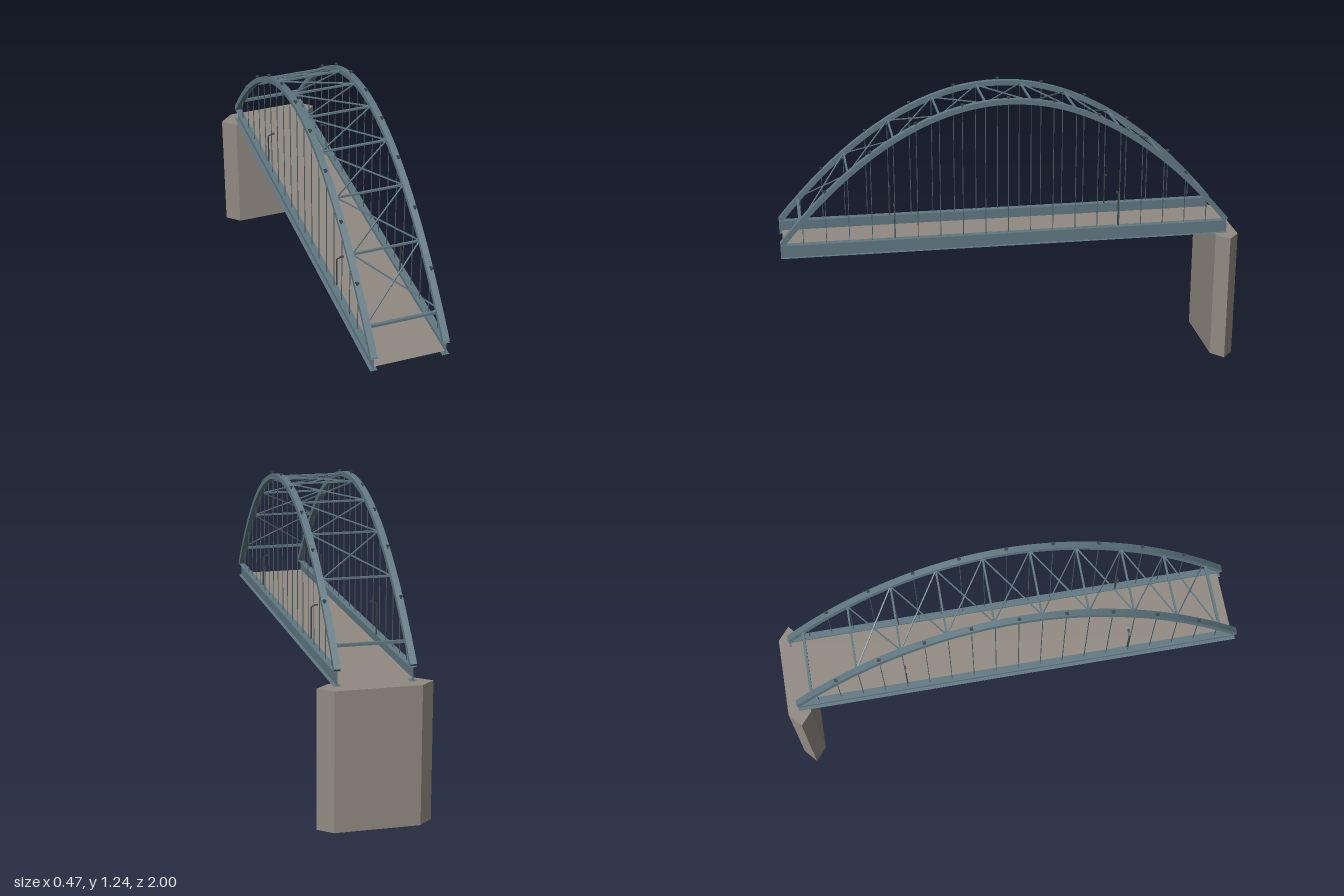
import * as THREE from 'three';

const steel = new THREE.MeshStandardMaterial({ color: 0x607882, side: THREE.DoubleSide });
steel.name = 'steel';
const darkSteel = new THREE.MeshStandardMaterial({ color: 0x4a5c65 });
darkSteel.name = 'darkSteel';
const lampGrey = new THREE.MeshStandardMaterial({ color: 0x3c4246 });
lampGrey.name = 'lampGrey';
const concrete = new THREE.MeshStandardMaterial({ color: 0x918a81, side: THREE.DoubleSide });
concrete.name = 'concrete';

const MID = 0.0215, HALF = 0.968, BASE = 0.64, RISE = 0.581;
const FRONT = 0.997, BACK = -0.954, PANEL = 0.195;
const GIRDER_TOP = 0.636, GIRDER_BOTTOM = 0.578, SIDE = 0.151;
const SIDES = [['left', 1], ['right', -1]];

// Height and slope of the arch centre line
const archY = (z) => BASE + RISE * (1 - ((z - MID) / HALF) ** 2);
const archSlope = (z) => (-2 * RISE * (z - MID)) / HALF ** 2;

function add(parent, name, geometry, material, x = 0, y = 0, z = 0) {
  const mesh = new THREE.Mesh(geometry, material);
  mesh.name = name;
  mesh.position.set(x, y, z);
  parent.add(mesh);
  return mesh;
}

// Rectangular bar between two points
function bar(parent, name, a, b, width, height, material) {
  const p = new THREE.Vector3(...a), q = new THREE.Vector3(...b);
  const mesh = add(parent, name, new THREE.BoxGeometry(width, height, p.distanceTo(q)), material);
  mesh.position.copy(p).lerp(q, 0.5);
  mesh.lookAt(q);
  return mesh;
}

// Horizontal thin plate running along the bridge
function plate(parent, name, width, z0, z1, x, y, material) {
  const g = new THREE.PlaneGeometry(width, z0 - z1).rotateX(-Math.PI / 2);
  return add(parent, name, g, material, x, y, (z0 + z1) / 2);
}

// Curved band of constant depth, extruded across the rib width
function archGeometry() {
  const top = [], bottom = [], n = 40, depth = 0.022, width = 0.027;
  for (let i = 0; i <= n; i++) {
    const z = MID - HALF + (2 * HALF * i) / n;
    const normal = new THREE.Vector2(-archSlope(z), 1).normalize().multiplyScalar(depth / 2);
    const c = new THREE.Vector2(z, archY(z));
    top.push(c.clone().add(normal));
    bottom.push(c.clone().sub(normal));
  }
  const shape = new THREE.Shape([...bottom, ...top.reverse()]);
  return new THREE.ExtrudeGeometry(shape, { depth: width, bevelEnabled: false })
    .translate(0, 0, -width / 2)
    .rotateY(-Math.PI / 2);
}

// Street lamp standing on the girder, arm reaching over the road
function lamp(parent, name, s, z) {
  const group = new THREE.Group();
  group.name = name;
  const x = s * 0.139;
  bar(group, 'lampPost', [x, GIRDER_TOP, z], [x, 0.77, z], 0.005, 0.005, lampGrey);
  bar(group, 'lampArm', [x, 0.77, z], [s * 0.118, 0.779, z], 0.004, 0.004, lampGrey);
  add(group, 'lampHead', new THREE.BoxGeometry(0.014, 0.005, 0.008), lampGrey, s * 0.117, 0.778, z);
  parent.add(group);
}

export function createModel() {
  const model = new THREE.Group();
  model.name = 'archBridge';

  // Road deck between the girder webs
  plate(model, 'deck', SIDE * 2, 0.985, -0.945, 0, 0.588, concrete);

  // Pier with pointed ends, open underneath
  const outline = [[-0.233, -0.95], [-0.175, -0.9], [0.175, -0.9], [0.233, -0.95], [0.175, -1], [-0.175, -1]];
  const pier = new THREE.Group();
  pier.name = 'pier';
  model.add(pier);
  const pierTop = 0.575;
  outline.forEach(([x0, z0], i) => {
    const [x1, z1] = outline[(i + 1) % outline.length];
    const dx = x1 - x0, dz = z1 - z0;
    const wall = add(pier, 'pierWall', new THREE.PlaneGeometry(Math.hypot(dx, dz), pierTop), concrete,
      (x0 + x1) / 2, pierTop / 2, (z0 + z1) / 2);
    wall.rotation.y = Math.atan2(-dz, dx);
  });
  const capShape = new THREE.Shape(outline.map(([x, z]) => new THREE.Vector2(x, -z)));
  add(pier, 'pierCap', new THREE.ShapeGeometry(capShape).rotateX(-Math.PI / 2), concrete, 0, pierTop, 0);

  const rib = archGeometry();
  for (const [label, s] of SIDES) {
    const side = new THREE.Group();
    side.name = label + 'Truss';
    model.add(side);
    const x = s * SIDE;

    // Girder of web and two flanges
    const web = new THREE.PlaneGeometry(FRONT - BACK, GIRDER_TOP - GIRDER_BOTTOM).rotateY(Math.PI / 2 * s);
    add(side, 'girderWeb', web, steel, x, (GIRDER_TOP + GIRDER_BOTTOM) / 2, (FRONT + BACK) / 2);
    plate(side, 'girderTopFlange', 0.03, FRONT, BACK, x, GIRDER_TOP, steel);
    plate(side, 'girderBottomFlange', 0.03, FRONT, BACK, x, GIRDER_BOTTOM, steel);

    add(side, 'archRib', rib, steel, x);

    // Hangers
    for (let k = 1; k < 20; k++) {
      const z = FRONT - (k * PANEL) / 2;
      bar(side, 'hanger', [x, GIRDER_TOP, z], [x, archY(z), z], 0.003, 0.003, darkSteel);
    }

    // Small marker lights along the top of the rib
    for (let k = 1; k < 10; k++) {
      const z = FRONT - k * PANEL, y = archY(z) + 0.011 * Math.hypot(1, archSlope(z));
      add(side, 'markerStem', new THREE.BoxGeometry(0.006, 0.01, 0.006), lampGrey, s * 0.155, y + 0.003, z);
      add(side, 'markerLight', new THREE.BoxGeometry(0.012, 0.005, 0.014), lampGrey, s * 0.155, y + 0.009, z);
    }

    for (const z of [0.51, -0.464]) lamp(side, 'streetLamp', s, z);
  }

  // Struts and crossed bracing between the ribs
  const bracing = new THREE.Group();
  bracing.name = 'topBracing';
  model.add(bracing);
  const inner = 0.142;
  for (const z of [0.91, -0.878]) {
    const y = archY(z);
    bar(bracing, 'portalStrut', [-inner, y, z], [inner, y, z], 0.012, 0.012, steel);
  }
  for (let k = 0; k < 8; k++) {
    const z0 = -0.663 + k * PANEL, z1 = z0 + PANEL;
    const y0 = archY(z0), y1 = archY(z1);
    bar(bracing, 'strut', [-inner, y0, z0], [inner, y0, z0], 0.008, 0.008, steel);
    for (const s of [1, -1]) {
      bar(bracing, 'crossBrace', [-s * inner, y0, z0], [s * inner, y1, z1], 0.005, 0.005, steel);
    }
  }
  return model;
}
